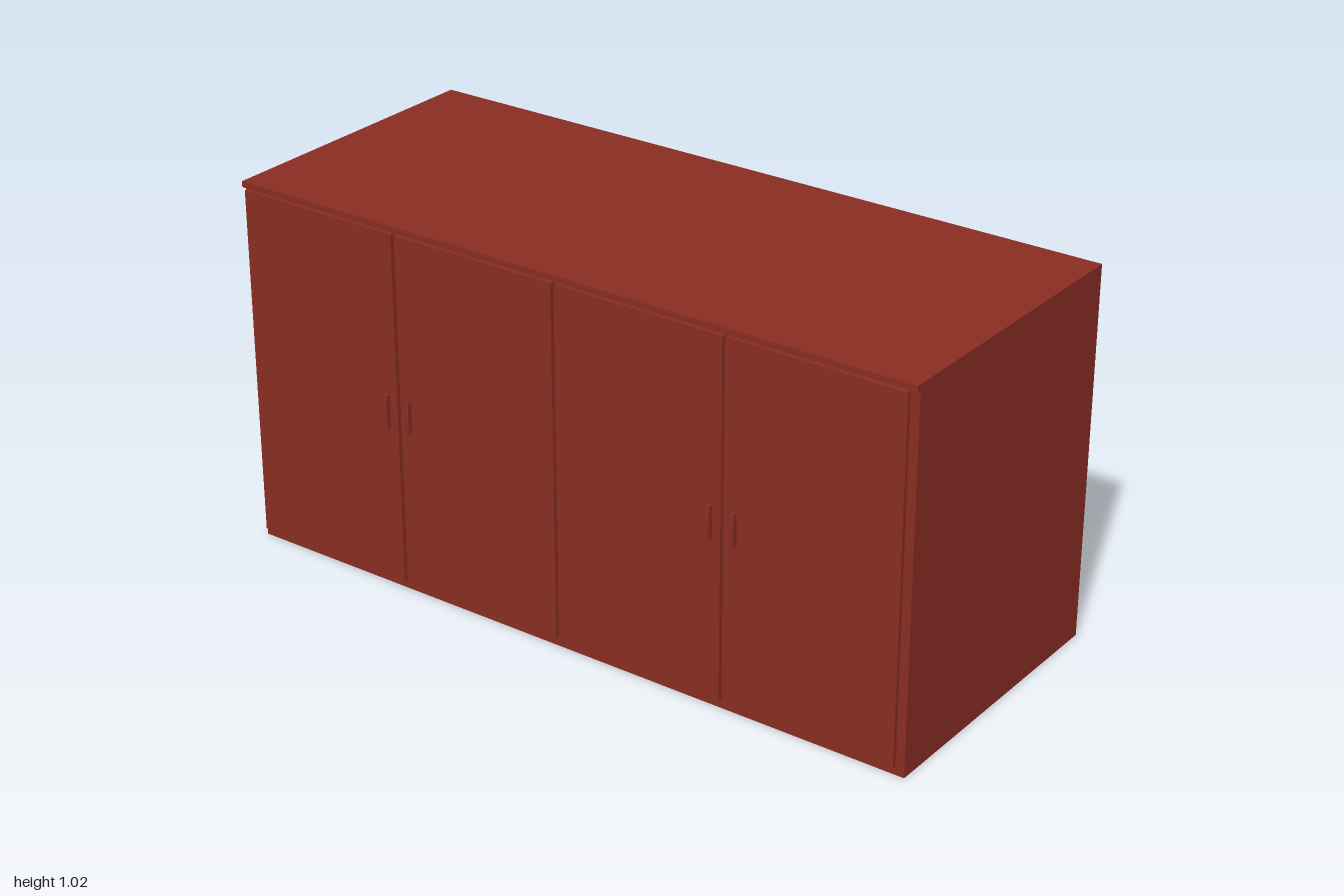
import * as THREE from 'three';

export function createModel() {
  const model = new THREE.Group();
  const wood = new THREE.MeshStandardMaterial({ color: 0x8a2d22 });
  wood.name = 'redBrownWood';

  // Box between two corners
  const box = (name, x0, x1, y0, y1, z0, z1) => {
    const mesh = new THREE.Mesh(new THREE.BoxGeometry(x1 - x0, y1 - y0, z1 - z0), wood);
    mesh.position.set((x0 + x1) / 2, (y0 + y1) / 2, (z0 + z1) / 2);
    mesh.name = name;
    model.add(mesh);
  };

  // Carcass and overhanging worktop
  box('carcass', -0.393, 0.417, 0, 1.0, -1, 1);
  box('top', -0.405, 0.417, 1.0, 1.016, -1, 1);

  // Four doors, separated by narrow gaps
  const pitch = 0.495, middle = -0.008, gap = 0.012;
  for (let i = 0; i < 4; i++) {
    const z0 = middle + (i - 2) * pitch;
    box('door' + (i + 1), -0.405, -0.393, 0.024, 0.993, z0 + gap / 2, z0 + pitch - gap / 2);
  }

  // Bowed pull handles, a pair beside each door meeting
  const profile = new THREE.Shape();
  profile.moveTo(-0.404, 0.462);
  profile.lineTo(-0.404, 0.553);
  profile.lineTo(-0.416, 0.553);
  profile.quadraticCurveTo(-0.422, 0.5075, -0.416, 0.462);
  profile.closePath();
  const depth = 0.01;
  const handleGeometry = new THREE.ExtrudeGeometry(profile, { depth, bevelEnabled: false, curveSegments: 8 });
  handleGeometry.translate(0, 0, -depth / 2);
  for (const seam of [middle - pitch, middle + pitch]) {
    for (const side of [-1, 1]) {
      const handle = new THREE.Mesh(handleGeometry, wood);
      handle.position.z = seam + side * 0.035;
      handle.name = 'handle';
      model.add(handle);
    }
  }
  return model;
}
